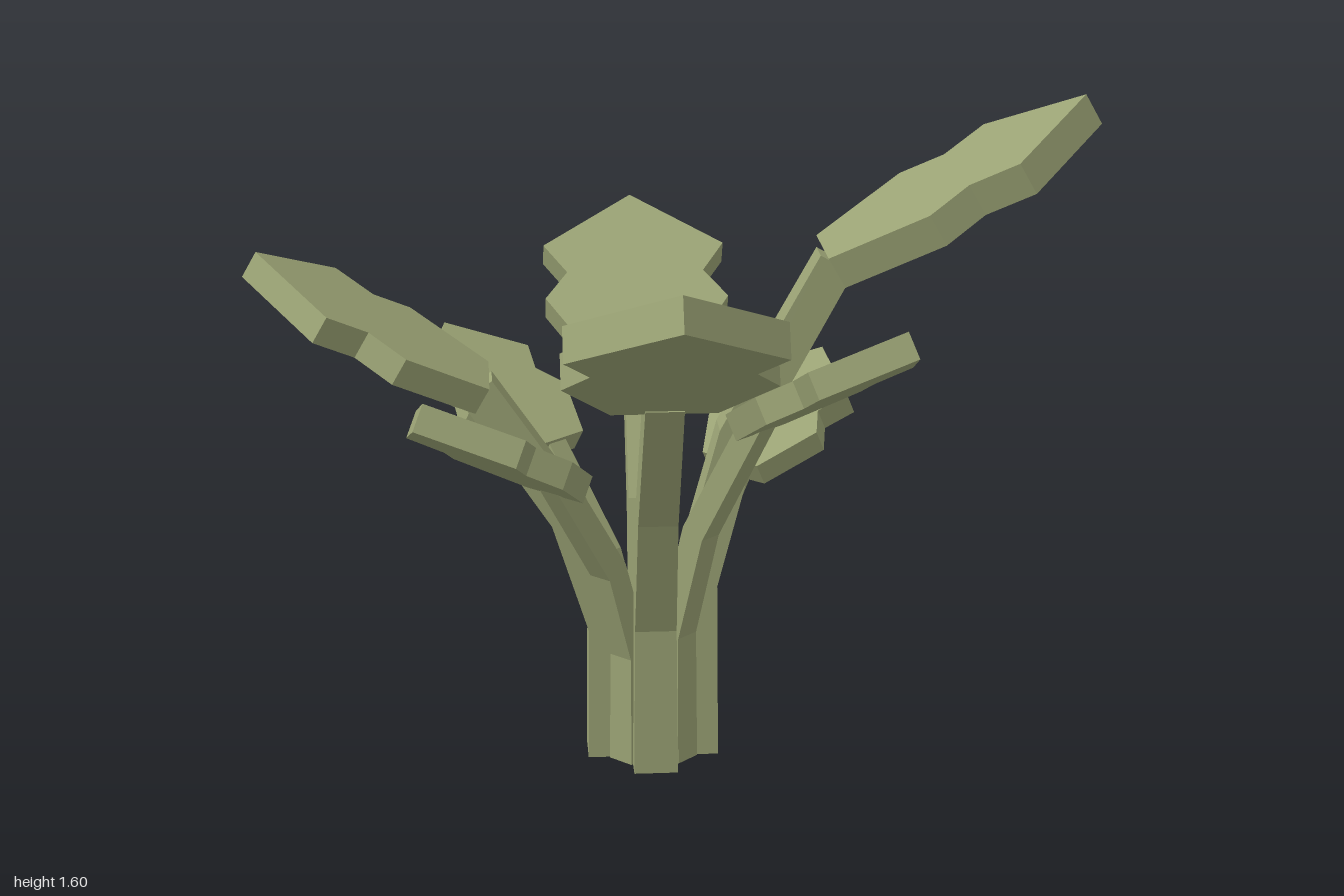
import * as THREE from 'three';

const CENTRE = -0.06;
const PITCH = Math.PI / 6;

// Leaf blade: half outline as [fraction of length, half width], mirrored and extruded downwards
function leafGeometry(length, halfWidth, thickness) {
  const half = [[0, 0.51], [0.35, 1], [0.51, 0.75], [0.68, 1]];
  const right = half.map(([t, w]) => new THREE.Vector2(t * length, -w * halfWidth));
  const left = half.map(([t, w]) => new THREE.Vector2(t * length, w * halfWidth)).reverse();
  const shape = new THREE.Shape([...right, new THREE.Vector2(length, 0), ...left]);
  const geo = new THREE.ExtrudeGeometry(shape, { depth: thickness, bevelEnabled: false });
  geo.rotateX(-Math.PI / 2);
  geo.translate(0, -thickness, 0);
  geo.rotateZ(PITCH);
  return geo;
}

// Stem: bent strip in the radial plane, extruded sideways and narrowed towards the top
function stemGeometry(radius, width, endRadius, height) {
  const path = [
    [radius, 0], [radius, height * 0.36],
    [radius + (endRadius - radius) * 0.3, height * 0.66], [endRadius, height],
  ].map(([x, y]) => new THREE.Vector2(x, y));
  const outer = [], inner = [];
  path.forEach((p, i) => {
    const dirs = [];
    if (i > 0) dirs.push(p.clone().sub(path[i - 1]).normalize());
    if (i < path.length - 1) dirs.push(path[i + 1].clone().sub(p).normalize());
    const dir = dirs.reduce((a, d) => a.add(d), new THREE.Vector2()).normalize();
    const side = new THREE.Vector2(dir.y, -dir.x).multiplyScalar(width * (0.5 - 0.08 * p.y / height));
    outer.push(p.clone().add(side));
    inner.unshift(p.clone().sub(side));
  });
  const geo = new THREE.ExtrudeGeometry(new THREE.Shape([...outer, ...inner]), { depth: width, bevelEnabled: false });
  geo.translate(0, 0, -width / 2);
  const pos = geo.attributes.position;
  for (let i = 0; i < pos.count; i++) {
    pos.setZ(i, pos.getZ(i) * (1 - 0.18 * Math.min(1, pos.getY(i) / height)));
  }
  geo.computeVertexNormals();
  return geo;
}

export function createModel() {
  const model = new THREE.Group();
  model.name = 'plant';
  const green = new THREE.MeshStandardMaterial({ color: 0x9aa274 });
  green.name = 'leafGreen';

  const large = { radius: 0.105, width: 0.105, halfWidth: 0.232 };
  const small = { radius: 0.08, width: 0.07, halfWidth: 0.17 };

  // Heading in eighths of a turn from +x towards +z, leaf base radius and height, length, thickness
  const branches = [
    [0, large, 0.40, 1.25, 0.70, 0.08],
    [2, large, 0.42, 1.06, 0.68, 0.08],
    [4, large, 0.38, 0.955, 0.61, 0.067],
    [6, large, 0.38, 0.89, 0.59, 0.067],
    [1, small, 0.30, 0.93, 0.51, 0.065],
    [3, small, 0.30, 0.79, 0.51, 0.065],
    [5, small, 0.30, 0.73, 0.45, 0.06],
    [7, small, 0.29, 0.67, 0.42, 0.06],
  ];

  for (const [heading, kind, baseR, baseY, length, thickness] of branches) {
    const branch = new THREE.Group();
    branch.name = kind === large ? 'largeBranch' : 'smallBranch';

    const stem = new THREE.Mesh(
      stemGeometry(kind.radius, kind.width, baseR + 0.03, baseY - thickness * 0.4), green);
    stem.name = 'stem';

    const leaf = new THREE.Mesh(leafGeometry(length, kind.halfWidth, thickness), green);
    leaf.name = 'leaf';
    leaf.position.set(baseR, baseY, 0);

    branch.add(stem, leaf);
    branch.position.set(CENTRE, 0, CENTRE);
    branch.rotation.y = -heading * Math.PI / 4;
    model.add(branch);
  }
  return model;
}
